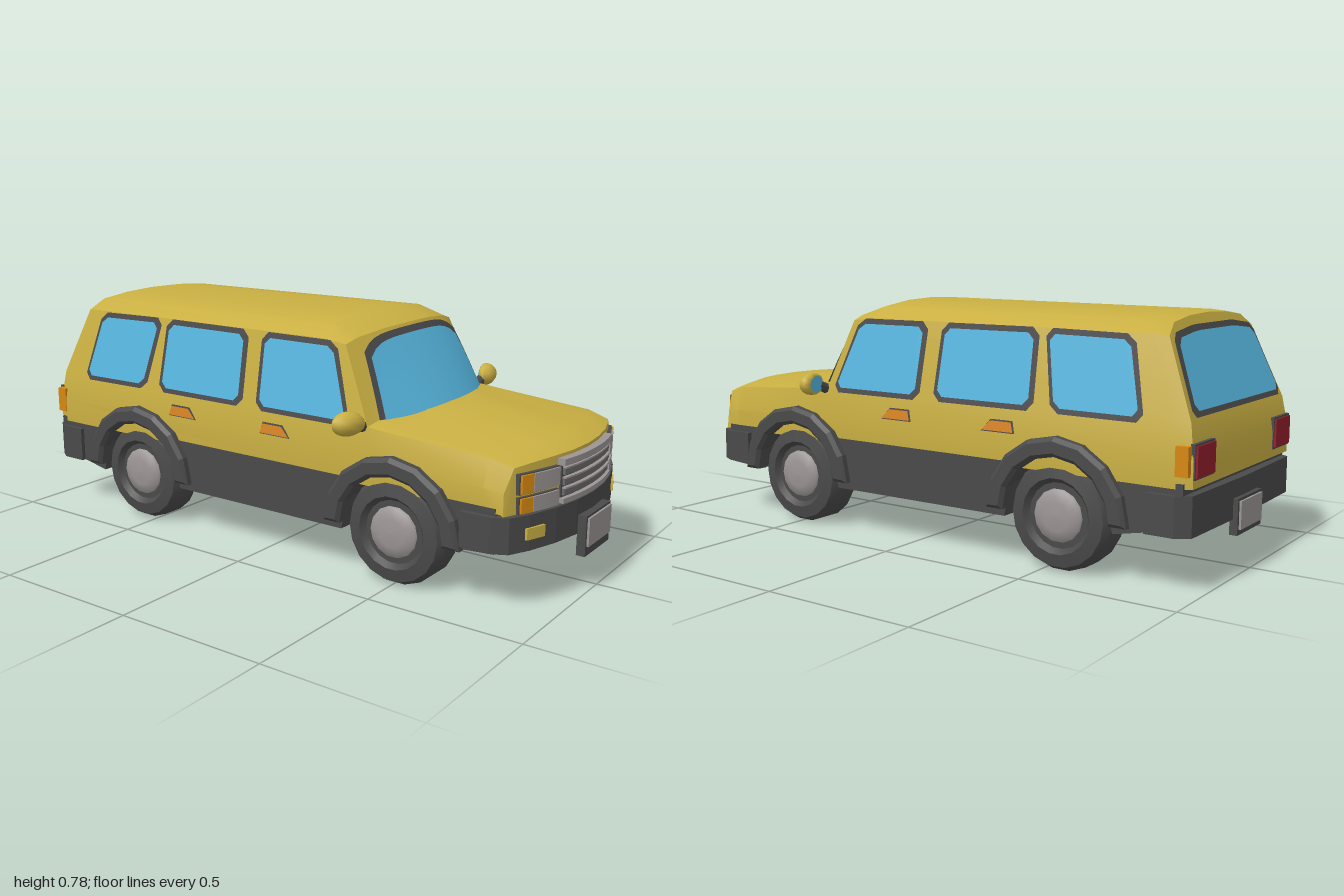
import * as THREE from 'three';
import { toCreasedNormals } from 'three/addons/utils/BufferGeometryUtils.js';

const mat = (name, color, side = THREE.FrontSide) =>
  Object.assign(new THREE.MeshStandardMaterial({ color, side }), { name });

const paint = mat('yellow paint', 0xc9af42);
const plastic = mat('dark plastic', 0x4a4a4a);
const trim = mat('window trim', 0x4c4a4c, THREE.DoubleSide);
const glass = mat('blue glass', 0x56b5de, THREE.DoubleSide);
const silver = mat('light grey', 0x9c9595);
const barGrey = mat('mid grey', 0x6c6a6a);
const orange = mat('orange lens', 0xd6880f);
const handleOrange = mat('orange handle', 0xd68222, THREE.DoubleSide);
const red = mat('red lens', 0x931f2c);

const lerp = THREE.MathUtils.lerp;
const bow = (x) => -0.67 * x * x;                            // plan curve of the nose
const tailZ = (y) => -0.97 + 0.4 * Math.max(0, y - 0.44);    // slope of the tailgate
const sideX = (y) => y < 0.48 ? lerp(0.375, 0.36, (y - 0.38) / 0.1) : lerp(0.36, 0.31, (y - 0.48) / 0.24);
const shape = (pts) => new THREE.Shape(pts.map((p) => new THREE.Vector2(...p)));

// Moves every vertex by a rule
function remap(geo, rule) {
  const p = geo.attributes.position;
  for (let i = 0; i < p.count; i++) p.setXYZ(i, ...rule(p.getX(i), p.getY(i), p.getZ(i)));
  geo.computeVertexNormals();
  return geo;
}

// Cuts each corner of a polygon
function chamfer(pts, d) {
  return pts.flatMap((p, i) => {
    const toward = (q) => {
      const t = d / Math.hypot(q[0] - p[0], q[1] - p[1]);
      return [lerp(p[0], q[0], t), lerp(p[1], q[1], t)];
    };
    return [toward(pts[(i + pts.length - 1) % pts.length]), toward(pts[(i + 1) % pts.length])];
  });
}

// Shrinks a polygon toward its middle by a margin
function inset(pts, m) {
  const range = [0, 1].map((k) => pts.map((p) => p[k])).map((v) => [Math.min(...v), Math.max(...v)]);
  return pts.map((p) => p.map((v, k) => {
    const [a, b] = range[k], c = (a + b) / 2;
    return c + (v - c) * (b - a - 2 * m) / (b - a);
  }));
}

// Side profile in (z, y), extruded across x
function sideExtrude(pts, x0, x1, bevel = 0) {
  const geo = new THREE.ExtrudeGeometry(shape(pts), {
    depth: x1 - x0 - 2 * bevel, bevelEnabled: bevel > 0, bevelThickness: bevel, bevelSize: bevel, bevelOffset: -bevel, bevelSegments: 1,
  });
  return geo.rotateY(-Math.PI / 2).translate(x1 - bevel, 0, 0);
}

// Plan outline in (x, z) given for one half, extruded upward
function planExtrude(half, y0, y1) {
  const pts = [...half, ...half.map(([x, z]) => [-x, z]).reverse()].map(([x, z]) => [x, -z]);
  return new THREE.ExtrudeGeometry(shape(pts), { depth: y1 - y0, bevelEnabled: false })
    .rotateX(-Math.PI / 2).translate(0, y0, 0);
}

// Body shell: half sections from nose to tail, sill to centre line
function bodyGeometry() {
  const nose = (xy, z) => xy.map(([x, y]) => [x, y, z + bow(x)]);
  const roof = [[0.31, 0.72], [0.25, 0.757], [0.13, 0.773], [0, 0.778]];
  const tail = [[0.375, 0.3], [0.375, 0.38], [0.36, 0.48], [0.31, 0.715], [0.25, 0.75], [0.13, 0.763], [0, 0.767]];
  const flank = (z, zs = z) => [[0.37, 0.3, z], [0.375, 0.38, z], [0.36, 0.48, zs]];
  const stations = [
    nose([[0.372, 0.295], [0.37, 0.295], [0.36, 0.295], [0.29, 0.295], [0.18, 0.295], [0.09, 0.295], [0, 0.295]], 0.955),
    nose([[0.372, 0.3], [0.365, 0.36], [0.335, 0.43], [0.29, 0.435], [0.18, 0.44], [0.09, 0.44], [0, 0.44]], 0.948),
    [[0.372, 0.3, 0.8], [0.375, 0.37, 0.8], [0.345, 0.45, 0.8],
      ...nose([[0.29, 0.456], [0.17, 0.464], [0.1, 0.466], [0, 0.467]], 0.89)],
    [...flank(0.45).map(([x, y, z]) => [x, y - (y > 0.45 ? 0.005 : 0), z]),
      ...nose([[0.31, 0.483], [0.17, 0.488], [0.12, 0.5], [0, 0.503]], 0.53)],
    [...flank(0.4), ...nose([[0.31, 0.49], [0.25, 0.492], [0.13, 0.497], [0, 0.5]], 0.47)],
    [...flank(0.38, 0.37), ...[[0.312, 0.71], [0.26, 0.725], [0.13, 0.738], [0, 0.74]].map(([x, y]) => [x, y, 0.315 - 0.3 * x * x])],
    [...flank(0.2), ...roof.map(([x, y]) => [x, y, 0.2])],
    tail.map(([x, y]) => [x, y, tailZ(y) + 0.045]),
    tail.map(([x, y]) => [x * 0.95, y - (y > 0.6 ? 0.006 : 0), tailZ(y)]),
  ];
  const verts = [], index = [], n = 13;
  for (const s of stations) {
    verts.push(...s.flat(), ...s.slice(0, 6).reverse().flatMap(([x, y, z]) => [-x, y, z]));
  }
  for (let i = 0; i < stations.length - 1; i++) {
    for (let j = 0; j < n - 1; j++) {
      const a = i * n + j, c = a + n;
      index.push(a, c, a + 1, a + 1, c, c + 1);
    }
  }
  // tailgate closes the last section
  const last = (stations.length - 1) * n;
  for (let j = 0; j < 6; j++) {
    const a = last + j, b = last + n - 1 - j;
    index.push(a, b, a + 1, b, b - 1, a + 1);
  }
  const geo = new THREE.BufferGeometry();
  geo.setAttribute('position', new THREE.Float32BufferAttribute(verts, 3));
  geo.setIndex(index);
  return toCreasedNormals(geo, 0.45);
}

export function createModel() {
  const car = new THREE.Group();
  car.name = 'car';
  const add = (name, geo, material, parent = car) => {
    const m = new THREE.Mesh(geo, material);
    m.name = name;
    parent.add(m);
    return m;
  };
  const box = (name, material, x0, x1, y0, y1, z0, z1) => add(name,
    new THREE.BoxGeometry(Math.abs(x1 - x0), y1 - y0, z1 - z0).translate((x0 + x1) / 2, (y0 + y1) / 2, (z0 + z1) / 2), material);
  // Box that follows the curve of the nose
  const noseBox = (name, material, x0, x1, y0, y1, z0, z1) => {
    const geo = new THREE.BoxGeometry(Math.abs(x1 - x0), y1 - y0, z1 - z0, 6).translate((x0 + x1) / 2, (y0 + y1) / 2, (z0 + z1) / 2);
    add(name, toCreasedNormals(remap(geo, (x, y, z) => [x, y, z + bow(x)]), 0.5), material);
  };
  const sidePanel = (name, material, pts, s, off) => add(name,
    remap(new THREE.ShapeGeometry(shape(pts)), (z, y) => [s * (sideX(y) + off), y, z]), material);

  add('body', bodyGeometry(), paint);

  // Windscreen follows the slope between bonnet and roof
  const screen = (name, material, wBase, wTop, top, off) => add(name,
    remap(new THREE.PlaneGeometry(2, 1, 16, 3), (u, v) => {
      const y = lerp(0.492, top - 0.035 * u ** 6 - 0.012 * u * u, v + 0.5);
      const x = u * lerp(wBase, wTop, v + 0.5);
      return [x, y, lerp(0.47 + bow(x), 0.315 - 0.3 * x * x, (y - 0.49) / 0.245) + off];
    }), material);
  screen('windscreenFrame', trim, 0.312, 0.272, 0.732, 0.008);
  screen('windscreen', glass, 0.296, 0.258, 0.714, 0.013);

  // Rear window
  const rear = [[-0.325, 0.49], [0.325, 0.49], [0.282, 0.715], [0.14, 0.732], [-0.14, 0.732], [-0.282, 0.715]];
  [['rearWindowFrame', trim, rear, 0.004], ['rearWindow', glass, inset(rear, 0.017), 0.009]].forEach(([name, m, pts, off]) =>
    add(name, remap(new THREE.ShapeGeometry(shape(chamfer(pts, 0.02))), (x, y) => [x, y, tailZ(y) - off]), m));

  // Dark lower hull with gaps for the wheels
  const hull = [
    [[0.685, 0.17], [0.84, 0.18], [0.84, 0.315], [0.615, 0.315], [0.665, 0.25]],
    [[0.315, 0.145], [0.335, 0.25], [0.385, 0.315], [-0.435, 0.315], [-0.385, 0.25], [-0.365, 0.145]],
    [[-0.735, 0.145], [-0.715, 0.25], [-0.665, 0.315], [-0.95, 0.315], [-0.95, 0.19], [-0.86, 0.17]],
  ];
  add('underbody', sideExtrude([[0.9, 0.19], [0.9, 0.315], [-0.95, 0.315], [-0.95, 0.19], [-0.74, 0.145], [0.68, 0.145]], -0.245, 0.245), plastic);
  box('floor', plastic, -0.365, 0.365, 0.306, 0.314, -0.93, 0.82);

  // Bumpers
  add('frontBumper', planExtrude([[0, 0.972], [0.1, 0.965], [0.2, 0.945], [0.3, 0.912], [0.365, 0.88], [0.39, 0.83], [0.39, 0.735], [0, 0.735]], 0.185, 0.293), plastic);
  add('rearBumper', planExtrude([[0, -0.84], [0.388, -0.84], [0.388, -0.93], [0.36, -0.972], [0, -0.98]], 0.165, 0.283), plastic);

  // Number plates
  box('frontPlateHolder', plastic, -0.09, 0.09, 0.117, 0.243, 0.965, 0.993);
  box('frontPlate', silver, -0.082, 0.082, 0.147, 0.236, 0.99, 1);
  box('rearPlateHolder', plastic, -0.09, 0.09, 0.118, 0.228, -0.993, -0.968);
  box('rearPlate', silver, -0.08, 0.08, 0.135, 0.22, -1, -0.99);

  // Grille: backing, surround and slats
  noseBox('grilleBack', plastic, -0.165, 0.165, 0.3, 0.425, 0.945, 0.958);
  noseBox('grilleTop', silver, -0.172, 0.172, 0.41, 0.43, 0.94, 0.972);
  noseBox('grilleBottom', silver, -0.172, 0.172, 0.297, 0.312, 0.94, 0.972);
  for (let i = 0; i < 3; i++) {
    noseBox('grilleSlat', barGrey, -0.16, 0.16, 0.318 + i * 0.031, 0.338 + i * 0.031, 0.95, 0.966);
    noseBox('grilleSlatEdge', silver, -0.16, 0.16, 0.338 + i * 0.031, 0.343 + i * 0.031, 0.95, 0.97);
  }

  const windows = [
    [[0.34, 0.47], [-0.03, 0.47], [-0.035, 0.718], [0.255, 0.718]],
    [[-0.085, 0.472], [-0.46, 0.472], [-0.452, 0.718], [-0.09, 0.718]],
    [[-0.52, 0.472], [-0.825, 0.47], [-0.768, 0.712], [-0.472, 0.718]],
  ];
  const arc = (r, cz, from, to) => Array.from({ length: 9 }, (_, i) => {
    const a = lerp(from, to, i / 8);
    return [cz + r * Math.cos(a), 0.17 + r * Math.sin(a)];
  });
  const tyre = new THREE.LatheGeometry([[0, 0.25], [0.15, 0.25], [0.17, 0.272], [0.17, 0.345], [0.155, 0.372],
    [0.115, 0.38], [0.1, 0.362], [0, 0.362]].map((p) => new THREE.Vector2(...p)), 18).rotateZ(-Math.PI / 2);
  const hub = new THREE.LatheGeometry([[0.084, 0.355], [0.078, 0.372], [0.045, 0.381], [0, 0.383]]
    .map((p) => new THREE.Vector2(...p)), 14).rotateZ(-Math.PI / 2);

  for (const s of [1, -1]) {
    const sideName = s > 0 ? 'left' : 'right';
    hull.forEach((pts) => add(sideName + 'Sill', s > 0 ? sideExtrude(pts, 0.24, 0.374) : sideExtrude(pts, -0.374, -0.24), plastic));

    // Side windows and door handles
    windows.forEach((pts) => {
      sidePanel(sideName + 'WindowFrame', trim, chamfer(pts, 0.025), s, 0.005);
      sidePanel(sideName + 'Window', glass, chamfer(inset(pts, 0.017), 0.02), s, 0.01);
    });
    for (const z of [0, -0.397]) {
      const grip = [[z + 0.118, 0.4], [z - 0.005, 0.4], [z + 0.005, 0.438], [z + 0.085, 0.438]];
      sidePanel(sideName + 'HandleSurround', trim, grip, s, 0.005);
      sidePanel(sideName + 'Handle', handleOrange, inset(grip, 0.004), s, 0.01);
    }

    // Wheels and arch flares
    for (const z of [0.5, -0.55]) {
      const wheel = new THREE.Group();
      wheel.name = sideName + (z > 0 ? 'FrontWheel' : 'RearWheel');
      wheel.position.set(0, 0.17, z);
      wheel.rotation.y = s > 0 ? 0 : Math.PI;
      add('tyre', toCreasedNormals(tyre, 0.5), plastic, wheel);
      add('hub', hub, silver, wheel);
      car.add(wheel);
      const ring = [...arc(0.24, z, 0, Math.PI), ...arc(0.18, z, Math.PI, 0)];
      add(sideName + 'ArchFlare', s > 0 ? sideExtrude(ring, 0.345, 0.405, 0.012) : sideExtrude(ring, -0.405, -0.345, 0.012), plastic);
    }

    // Headlamps with indicators, fog lamps, tail lamps
    for (const y of [0.297, 0.355]) {
      const h = y > 0.3 ? 0.055 : 0.045;
      noseBox(sideName + 'LampFrame', plastic, s * 0.18, s * 0.33, y - 0.003, y + h + 0.003, 0.935, 0.961);
      noseBox(sideName + 'Headlamp', silver, s * 0.184, s * 0.284, y, y + h, 0.95, 0.967);
      noseBox(sideName + 'Indicator', orange, s * 0.286, s * 0.326, y, y + h, 0.945, 0.967);
    }
    noseBox(sideName + 'FogLamp', paint, s * 0.25, s * 0.315, 0.22, 0.255, 0.96, 0.978);
    box(sideName + 'TailLampFrame', plastic, s * 0.225, s * 0.355, 0.325, 0.425, -0.974, -0.96);
    box(sideName + 'TailLamp', red, s * 0.231, s * 0.349, 0.331, 0.419, -0.98, -0.97);
    box(sideName + 'SideLamp', orange, s * 0.34, s * 0.377, 0.335, 0.42, -0.964, -0.925);

    // Door mirror
    const mirror = new THREE.Group();
    mirror.name = sideName + 'Mirror';
    mirror.position.set(s * 0.428, 0.5, 0.375);
    mirror.rotation.set(0, s * 0.3, s * 0.05);
    add('housing', remap(new THREE.SphereGeometry(1, 10, 8), (x, y, z) => [x * 0.06, y * 0.037, Math.max(z * 0.038, -0.016)]), paint, mirror);
    add('mirrorGlass', new THREE.CircleGeometry(1, 12).scale(0.047, 0.028, 1).rotateY(Math.PI).translate(0, 0, -0.018), glass, mirror);
    car.add(mirror);
    const arm = add(sideName + 'MirrorArm', new THREE.CylinderGeometry(0.016, 0.019, 0.06, 8), plastic);
    arm.position.set(s * 0.365, 0.482, 0.38);
    arm.rotation.z = -s * 1.15;
  }
  return car;
}
